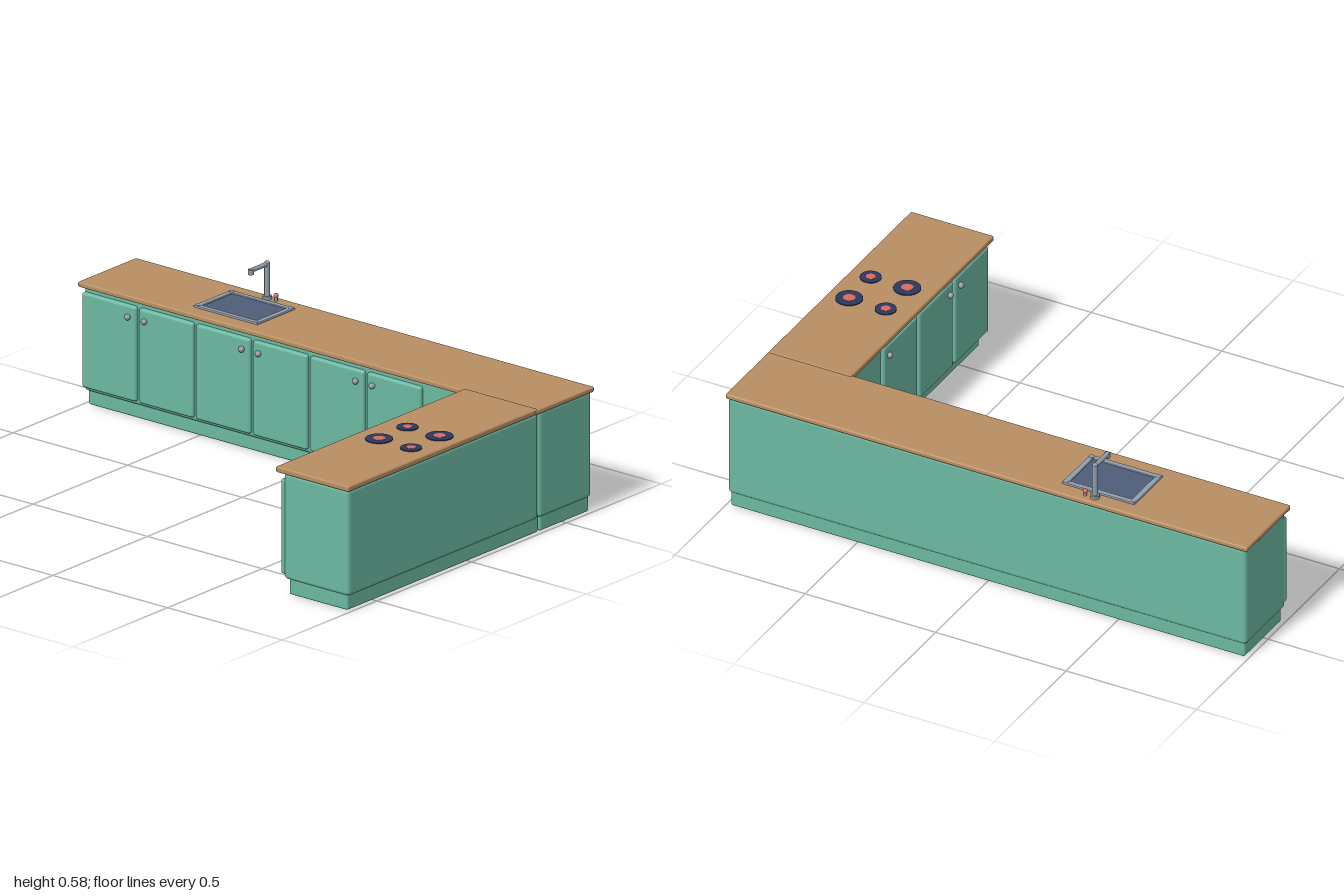
import * as THREE from 'three';
import { RoundedBoxGeometry } from 'three/addons/geometries/RoundedBoxGeometry.js';

const mat = (name, color) => {
  const m = new THREE.MeshStandardMaterial({ color });
  m.name = name;
  return m;
};

export function createModel() {
  const green = mat('green paint', 0x6cb9a2);
  const wood = mat('wood', 0xb98e62);
  const steel = mat('steel', 0x929eaa);
  const basinBlue = mat('basin', 0x4e5d78);
  const navy = mat('burner ring', 0x2a3760);
  const red = mat('red', 0xd86c5a);

  const model = new THREE.Group();
  model.name = 'cornerKitchen';

  const add = (name, geo, material, x, y, z, parent = model) => {
    const mesh = new THREE.Mesh(geo, material);
    mesh.name = name;
    mesh.position.set(x, y, z);
    parent.add(mesh);
    return mesh;
  };
  // Rounded box given by its limits
  const block = (name, material, [x0, x1], [y0, y1], [z0, z1], r) =>
    add(name, new RoundedBoxGeometry(x1 - x0, y1 - y0, z1 - z0, 3, r), material,
      (x0 + x1) / 2, (y0 + y1) / 2, (z0 + z1) / 2);

  // Back run
  block('backPlinth', green, [-0.985, 0.985], [0.003, 0.075], [-0.637, -0.378], 0.008);
  block('backCabinet', green, [-0.993, 0.993], [0.055, 0.435], [-0.643, -0.364], 0.014);
  block('backCounter', wood, [-1, 1], [0.43, 0.449], [-0.648, -0.34], 0.006);

  // Side run
  block('sidePlinth', green, [0.73, 0.985], [0.003, 0.075], [-0.37, 0.638], 0.008);
  block('sideCabinet', green, [0.71, 0.993], [0.055, 0.435], [-0.362, 0.643], 0.014);
  block('sideCounter', wood, [0.68, 0.998], [0.431, 0.452], [-0.352, 0.648], 0.006);

  const knob = new THREE.SphereGeometry(0.011, 16, 12);
  const doorY = [0.07, 0.41];

  // Back run doors, knobs meeting in pairs
  for (let i = 0; i < 6; i++) {
    const x0 = -0.992 + i * 0.2485;
    const x1 = x0 + 0.236;
    block('backDoor', green, [x0, x1], doorY, [-0.375, -0.35], 0.01);
    add('backKnob', knob, steel, i % 2 ? x0 + 0.03 : x1 - 0.03, 0.37, -0.344);
  }

  // Side run doors, facing inwards
  for (let i = 0; i < 3; i++) {
    const z1 = 0.642 - i * 0.2485;
    const z0 = z1 - 0.236;
    block('sideDoor', green, [0.695, 0.72], doorY, [z0, z1], 0.01);
    add('sideKnob', knob, steel, 0.69, 0.37, i % 2 ? z1 - 0.03 : z0 + 0.03);
  }

  // Sink: framed shallow basin
  const sink = new THREE.Group();
  sink.name = 'sink';
  sink.position.set(-0.4, 0, -0.494);
  model.add(sink);
  const rect = (P, w, h) => {
    const p = new P();
    p.moveTo(-w, -h);
    p.lineTo(w, -h);
    p.lineTo(w, h);
    p.lineTo(-w, h);
    p.closePath();
    return p;
  };
  const rim = rect(THREE.Shape, 0.135, 0.095);
  rim.holes.push(rect(THREE.Path, 0.122, 0.083));
  const rimGeo = new THREE.ExtrudeGeometry(rim, {
    depth: 0.006, bevelThickness: 0.003, bevelSize: 0.004, bevelSegments: 2,
  });
  rimGeo.rotateX(-Math.PI / 2);
  add('sinkRim', rimGeo, steel, 0, 0.447, 0, sink);
  add('sinkBasin', new THREE.BoxGeometry(0.25, 0.004, 0.17), basinBlue, 0, 0.4495, 0, sink);
  for (const sx of [-1, 1]) for (const sz of [-1, 1]) {
    add('rimCorner', new THREE.CylinderGeometry(0.01, 0.011, 0.01, 16), steel,
      sx * 0.128, 0.452, sz * 0.088, sink);
  }

  // Tap with a spout over the basin
  const tap = new THREE.Group();
  tap.name = 'tap';
  tap.position.set(-0.4, 0.449, -0.615);
  model.add(tap);
  const cyl = (r, h) => new THREE.CylinderGeometry(r, r, h, 20);
  add('tapBase', cyl(0.016, 0.012), steel, 0, 0.006, 0, tap);
  add('tapColumn', cyl(0.01, 0.13), steel, 0, 0.065, 0, tap);
  add('tapElbow', new THREE.SphereGeometry(0.01, 16, 12), steel, 0, 0.127, 0, tap);
  add('tapSpout', cyl(0.008, 0.09), steel, 0, 0.125, 0.045, tap).rotation.x = Math.PI / 2;
  add('tapNozzle', cyl(0.01, 0.018), steel, 0, 0.12, 0.086, tap);
  // Red and steel turn handle beside the column
  add('handleStem', cyl(0.006, 0.016), steel, 0.035, 0.008, -0.004, tap);
  add('handleCap', new THREE.SphereGeometry(0.009, 16, 12), red, 0.035, 0.018, -0.004, tap);

  // Hob: four burners, large and small alternating
  for (const [x, z, r] of [[0.778, 0.07, 0.037], [0.918, 0.07, 0.047],
    [0.778, 0.22, 0.047], [0.918, 0.22, 0.037]]) {
    add('burnerRing', new THREE.CylinderGeometry(r, r, 0.006, 28), navy, x, 0.4525, z);
    add('burnerCentre', new THREE.CylinderGeometry(r * 0.45, r * 0.45, 0.004, 24), red, x, 0.4545, z);
  }

  return model;
}
